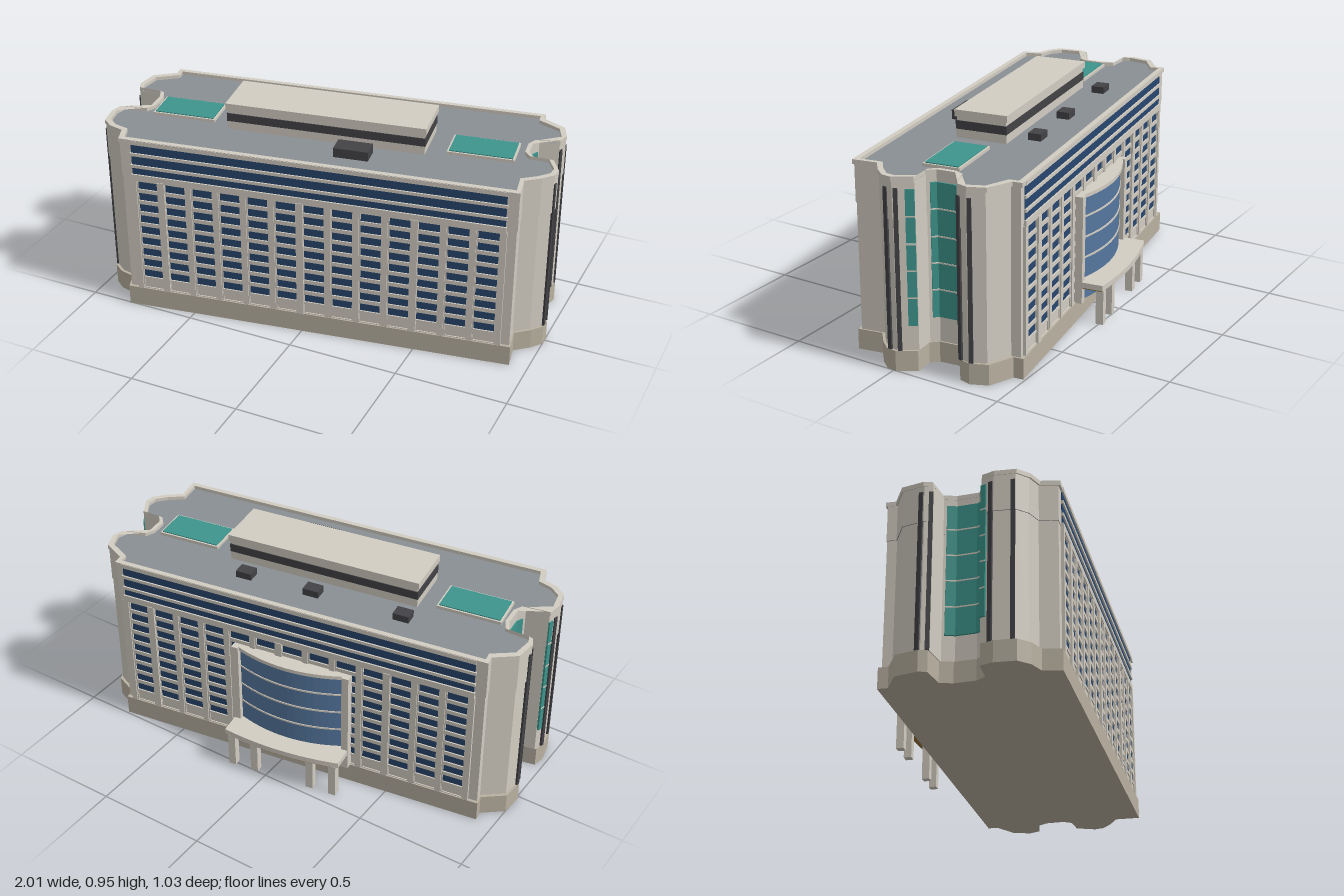
import * as THREE from 'three';

const mat = (color) => new THREE.MeshStandardMaterial({ color, flatShading: true });
const M = {
  wall: mat(0xd3cdc2), base: mat(0xb9b1a1), glass: mat(0x27466e), pale: mat(0x55779f),
  dark: mat(0x434347), teal: mat(0x3d958c), roof: mat(0x8a8f94), wood: mat(0x94733a),
};

function add(parent, name, geo, material) {
  const mesh = new THREE.Mesh(geo, material);
  mesh.name = name;
  parent.add(mesh);
  return mesh;
}

// box given by its extents
function box(parent, name, x0, x1, y0, y1, z0, z1, material) {
  const mesh = add(parent, name, new THREE.BoxGeometry(x1 - x0, y1 - y0, z1 - z0), material);
  mesh.position.set((x0 + x1) / 2, (y0 + y1) / 2, (z0 + z1) / 2);
  return mesh;
}

const scaled = (pts, sx, sz) => pts.map(([x, z]) => [x * sx, z * sz]);
const toVec = (pts) => pts.map(([x, z]) => new THREE.Vector2(x, -z));

// upright prism over a plan outline of [x, z] points
function prism(parent, name, pts, y0, y1, material, hole) {
  const shape = new THREE.Shape(toVec(pts));
  if (hole) shape.holes.push(new THREE.Path(toVec(hole)));
  const geo = new THREE.ExtrudeGeometry(shape, { depth: y1 - y0, bevelEnabled: false });
  geo.rotateX(-Math.PI / 2).translate(0, y0, 0);
  return add(parent, name, geo, material);
}

// thin panel along part of a plan edge p-q
function edgePanel(parent, name, p, q, t0, t1, y0, y1, thick, material) {
  const dx = q[0] - p[0], dz = q[1] - p[1], t = (t0 + t1) / 2;
  const geo = new THREE.BoxGeometry(Math.hypot(dx, dz) * (t1 - t0), y1 - y0, thick);
  const mesh = add(parent, name, geo, material);
  mesh.position.set(p[0] + dx * t, (y0 + y1) / 2, p[1] + dz * t);
  mesh.rotation.y = Math.atan2(-dz, dx);
}

// plan of the two ends, front to back: wing, notch, wing
const rightEnd = [[0.866, 0.362], [0.862, 0.255], [0.93, 0.215], [0.975, 0.175], [0.985, 0.134],
  [0.95, 0.052], [0.865, 0.045], [0.84, 0.01], [0.842, -0.07], [0.865, -0.11], [0.95, -0.128],
  [0.97, -0.175], [0.95, -0.25], [0.85, -0.31], [0.85, -0.352]];
const leftEnd = [[-0.868, 0.362], [-0.885, 0.285], [-0.95, 0.26], [-0.994, 0.216], [-1.0, 0.128],
  [-0.982, 0.075], [-0.88, 0.07], [-0.855, 0.03], [-0.85, -0.06], [-0.868, -0.112], [-0.975, -0.125],
  [-0.986, -0.16], [-0.964, -0.255], [-0.866, -0.31], [-0.868, -0.352]];
const outline = [...rightEnd, ...[...leftEnd].reverse()];

function rectHole(x0, x1, y0, y1) {
  return new THREE.Path([[x0, y0], [x0, y1], [x1, y1], [x1, y0]].map((p) => new THREE.Vector2(...p)));
}

// long window front, facing +z
function makeFacade(name) {
  const g = new THREE.Group();
  g.name = name;
  const Z = 0.362, W = 0.82, cols = 13, rows = 9, step = 0.1255;
  box(g, 'windowGlass', -W, W, 0.15, 0.655, Z - 0.01, Z + 0.002, M.glass);
  box(g, 'groundPanels', -W, W, 0.09, 0.15, Z - 0.01, Z + 0.003, M.wall);

  // wall lattice with window openings and ground floor bays
  const shape = new THREE.Shape([[-W, 0.09], [W, 0.09], [W, 0.655], [-W, 0.655]].map((p) => new THREE.Vector2(...p)));
  for (let c = 0; c < cols; c++) {
    const x = (c - (cols - 1) / 2) * step;
    shape.holes.push(rectHole(x - 0.045, x + 0.045, 0.096, 0.14));
    for (let r = 0; r < rows; r++) {
      const y = 0.152 + r * 0.0563;
      shape.holes.push(rectHole(x - 0.045, x + 0.045, y, y + 0.038));
    }
  }
  const lattice = new THREE.ExtrudeGeometry(shape, { depth: 0.008, bevelEnabled: false });
  add(g, 'windowLattice', lattice.translate(0, 0, Z), M.wall);

  // pilasters, three of them bolder
  for (let c = 0; c <= cols; c++) {
    const x = (c - cols / 2) * step, bold = [1, 6, 10].includes(c);
    const h = bold ? 0.016 : 0.012;
    box(g, 'pilaster', x - h, x + h, 0.09, 0.65, Z, Z + (bold ? 0.016 : 0.013), M.wall);
  }
  // upper ribbon windows
  box(g, 'ribbonGlass', -W, W, 0.66, 0.83, Z - 0.01, Z + 0.006, M.glass);
  for (const [y, h] of [[0.83, 0.02], [0.772, 0.014], [0.715, 0.014], [0.66, 0.03]]) {
    box(g, 'ribbonLedge', -W - 0.005, W + 0.005, y - h / 2, y + h / 2, Z - 0.005, Z + 0.013, M.wall);
  }
  return g;
}

// bands and glazing of one end of the block
function addEndDetails(parent, e) {
  const g = new THREE.Group();
  g.name = 'endDetails';
  parent.add(g);
  const strip = (i, a) => {
    const len = Math.hypot(e[i + 1][0] - e[i][0], e[i + 1][1] - e[i][1]);
    edgePanel(g, 'darkStrip', e[i], e[i + 1], a, a + 0.018 / len, 0.092, 0.795, 0.018, M.dark);
  };
  [[3, 0], [4, 0.03], [10, 0.05], [11, 0.05]].forEach(([i, a]) => strip(i, a));
  for (const [i, t0, t1] of [[4, 0.55, 0.98], [6, 0.3, 1], [7, 0, 1], [8, 0, 0.8]]) {
    edgePanel(g, 'endGlazing', e[i], e[i + 1], t0, t1, 0.205, 0.79, 0.018, M.teal);
    for (const y of [0.328, 0.445, 0.56, 0.678]) {
      edgePanel(g, 'glazingBar', e[i], e[i + 1], t0, t1, y - 0.003, y + 0.003, 0.022, M.wall);
    }
  }
}

// bowed plan: straight back at zBack, arc from zEnd bulging by rise
function bow(half, zBack, zEnd, rise, n = 16) {
  const pts = [[half, zBack]];
  for (let i = 0; i <= n; i++) {
    const t = 1 - (2 * i) / n;
    pts.push([half * t, zEnd - rise * (1 - t * t)]);
  }
  pts.push([-half, zBack]);
  return pts;
}

function makeEntrance() {
  const g = new THREE.Group();
  g.name = 'entrance';
  prism(g, 'bowedGlass', bow(0.245, -0.345, -0.37, 0.05), 0.09, 0.565, M.pale);
  for (const y of [0.285, 0.38, 0.475]) {
    prism(g, 'glassBand', bow(0.247, -0.345, -0.372, 0.052), y - 0.004, y + 0.004, M.wall);
  }
  prism(g, 'glassCap', bow(0.262, -0.345, -0.375, 0.055), 0.565, 0.582, M.wall);
  prism(g, 'canopy', bow(0.275, -0.345, -0.485, 0.028), 0.165, 0.19, M.wall);
  prism(g, 'canopySoffit', bow(0.268, -0.345, -0.479, 0.028), 0.158, 0.165, M.wood);
  for (const s of [-1, 1]) {
    box(g, 'sidePier', s * 0.262 - 0.016, s * 0.262 + 0.016, 0.09, 0.582, -0.392, -0.345, M.wall);
    for (const x of [0.245, 0.135]) {
      box(g, 'canopyColumn', s * x - 0.017, s * x + 0.017, 0, 0.16, -0.485, -0.451, M.wall);
    }
  }
  return g;
}

function makeRoofItems() {
  const g = new THREE.Group();
  g.name = 'roofItems';
  // penthouse in layers: inset, bottom, top, material
  for (const [d, y0, y1, m] of [[0.006, 0.82, 0.865, M.wall], [0.004, 0.865, 0.902, M.dark],
    [0.008, 0.902, 0.92, M.wall], [0, 0.92, 0.95, M.wall]]) {
    box(g, 'penthouse', -0.468 + d, 0.425 - d, y0, y1, -0.108 + d, 0.132 - d, m);
  }
  // skylights with pale curbs
  for (const [x0, x1, z0, z1] of [[0.507, 0.797, -0.067, 0.097], [-0.825, -0.538, -0.075, 0.09]]) {
    box(g, 'skylightCurb', x0, x1, 0.82, 0.84, z0, z1, M.wall);
    box(g, 'skylight', x0 + 0.008, x1 - 0.008, 0.82, 0.844, z0 + 0.008, z1 - 0.008, M.teal);
  }
  // plant boxes
  for (const [x, z, w, d, top] of [[-0.437, -0.197, 0.072, 0.058, 0.857], [-0.021, -0.192, 0.072, 0.058, 0.857],
    [0.297, -0.192, 0.072, 0.058, 0.857], [0.128, 0.209, 0.152, 0.085, 0.868]]) {
    box(g, 'plantBox', x - w / 2, x + w / 2, 0.82, top, z - d / 2, z + d / 2, M.dark);
  }
  return g;
}

export function createModel() {
  const model = new THREE.Group();
  model.name = 'officeBlock';
  const block = new THREE.Group();
  block.name = 'block';
  block.rotation.y = 0.152;
  model.add(block);

  // body: plinth, main walls, upper storeys with roof, parapet
  prism(block, 'plinth', scaled(outline, 1.008, 1.04), 0, 0.092, M.base);
  prism(block, 'mainWalls', outline, 0.092, 0.66, M.wall);
  prism(block, 'upperWalls', scaled(outline, 1.004, 1.006), 0.66, 0.826, [M.roof, M.wall]);
  prism(block, 'parapet', scaled(outline, 1.006, 1.03), 0.822, 0.842, M.wall, scaled(outline, 0.984, 0.965));

  block.add(makeFacade('frontFacade'));
  const back = makeFacade('backFacade');
  back.rotation.y = Math.PI;
  back.position.z = 0.01;
  block.add(back);

  [rightEnd, leftEnd].forEach((e) => addEndDetails(block, e));
  block.add(makeEntrance(), makeRoofItems());
  return model;
}
